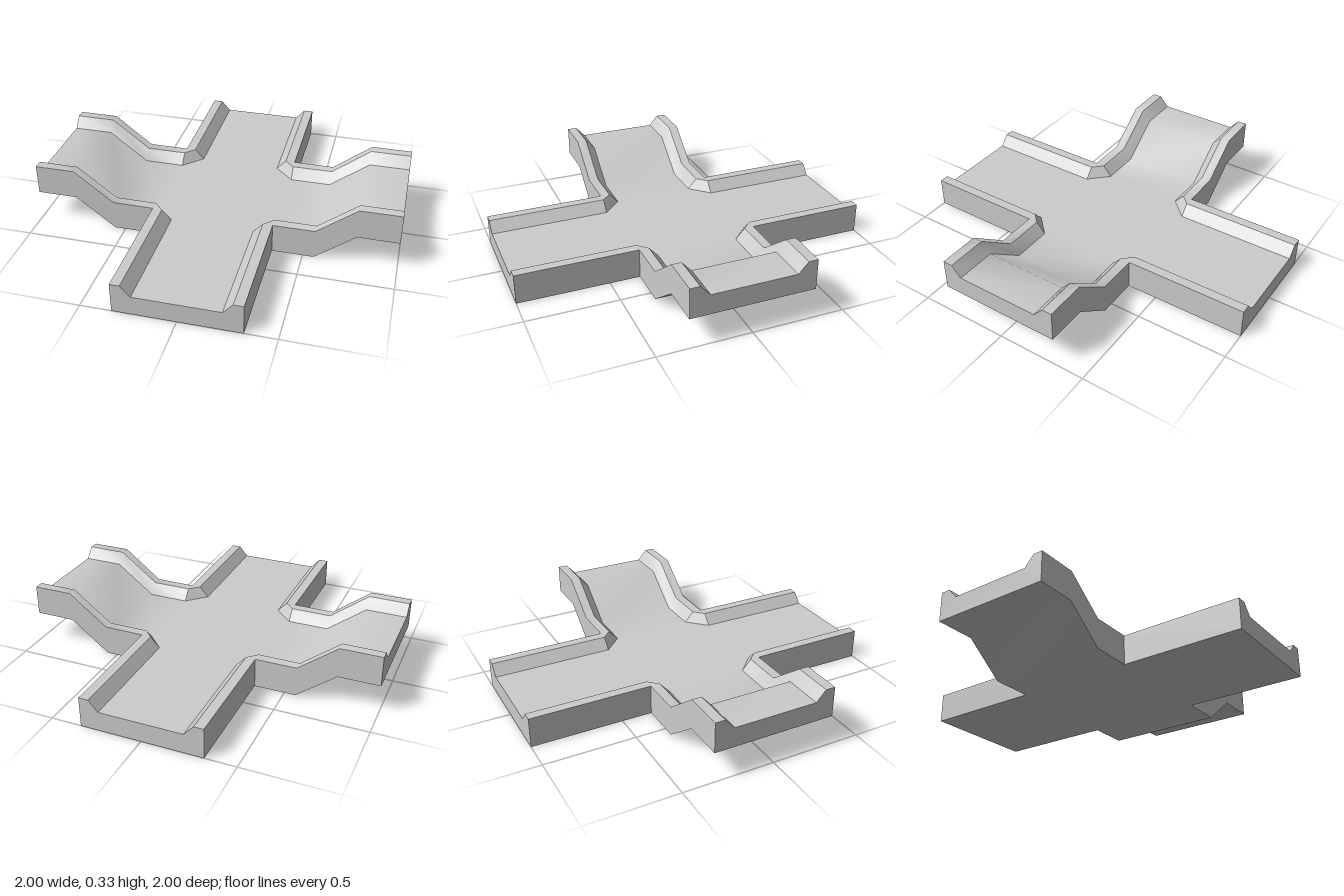
import * as THREE from 'three';
import { toCreasedNormals } from 'three/addons/utils/BufferGeometryUtils.js';

const W = 0.333;      // half width of the track
const LIP = 0.28;     // inner edge of the lip top
const FLOOR = 0.228;  // half width of the floor
const LIP_Y = 0.166;
const FLOOR_Y = 0.108;
const RISE = 0.167;

const material = new THREE.MeshStandardMaterial({ color: 0xcccccc });

function meshFrom(points, name) {
  const geometry = new THREE.BufferGeometry().setFromPoints(points);
  const mesh = new THREE.Mesh(toCreasedNormals(geometry, 0.7), material);
  mesh.name = name;
  return mesh;
}

// Channel cross-section, counter-clockwise
const profile = [
  [-W, 0], [W, 0], [W, LIP_Y], [LIP, LIP_Y],
  [FLOOR, FLOOR_Y], [-FLOOR, FLOOR_Y], [-LIP, LIP_Y], [-W, LIP_Y],
].map(([x, y]) => new THREE.Vector2(x, y));

// Arm running along +z; each station is [distance, lift]
function arm(stations, name, turn) {
  const point = (i, [z, lift]) => {
    const p = profile[i % profile.length];
    return new THREE.Vector3(p.x, p.y + lift, z);
  };
  const points = [];
  for (let s = 0; s < stations.length - 1; s++) {
    for (let i = 0; i < profile.length; i++) {
      const a = point(i, stations[s]), b = point(i + 1, stations[s]);
      const c = point(i + 1, stations[s + 1]), d = point(i, stations[s + 1]);
      points.push(a, b, c, a, c, d);
    }
  }
  // Outer end cap
  const end = stations[stations.length - 1];
  for (const face of THREE.ShapeUtils.triangulateShape(profile, [])) {
    points.push(...face.map((i) => point(i, end)));
  }
  const mesh = meshFrom(points, name);
  mesh.rotation.y = turn;
  return mesh;
}

// Lip joining two neighbouring arms with a diagonal slope
function cornerLip(turn, name) {
  const outer = new THREE.Vector3(W, LIP_Y, W);
  const topA = new THREE.Vector3(W, LIP_Y, LIP);
  const topB = new THREE.Vector3(LIP, LIP_Y, W);
  const lowA = new THREE.Vector3(W, FLOOR_Y, FLOOR);
  const lowB = new THREE.Vector3(FLOOR, FLOOR_Y, W);
  const mesh = meshFrom(
    [outer, topA, topB, topA, lowA, lowB, topA, lowB, topB], name);
  mesh.rotation.y = turn;
  return mesh;
}

export function createModel() {
  const group = new THREE.Group();
  group.name = 'trackCrossing';

  // Two level arms and two that climb to a raised end
  const level = [[W, 0], [1, 0]];
  const climbing = [[W, 0], [0.56, 0], [0.777, RISE], [1, RISE]];
  ['frontArm', 'leftRamp', 'backArm', 'rightRamp'].forEach((name, i) => {
    group.add(arm(i % 2 ? climbing : level, name, i * Math.PI / 2));
    group.add(cornerLip(i * Math.PI / 2, 'cornerLip' + (i + 1)));
  });

  // Crossing floor: a square with its corners cut
  const outline = [
    [W, FLOOR], [FLOOR, W], [-FLOOR, W], [-W, FLOOR],
    [-W, -FLOOR], [-FLOOR, -W], [FLOOR, -W], [W, -FLOOR],
  ].map(([x, y]) => new THREE.Vector2(x, y));
  const floor = new THREE.Mesh(
    new THREE.ShapeGeometry(new THREE.Shape(outline)), material);
  floor.name = 'crossingFloor';
  floor.rotation.x = -Math.PI / 2;
  floor.position.y = FLOOR_Y;
  group.add(floor);

  // Crossing underside
  const underside = new THREE.Mesh(new THREE.PlaneGeometry(2 * W, 2 * W), material);
  underside.name = 'crossingUnderside';
  underside.rotation.x = Math.PI / 2;
  group.add(underside);

  return group;
}
